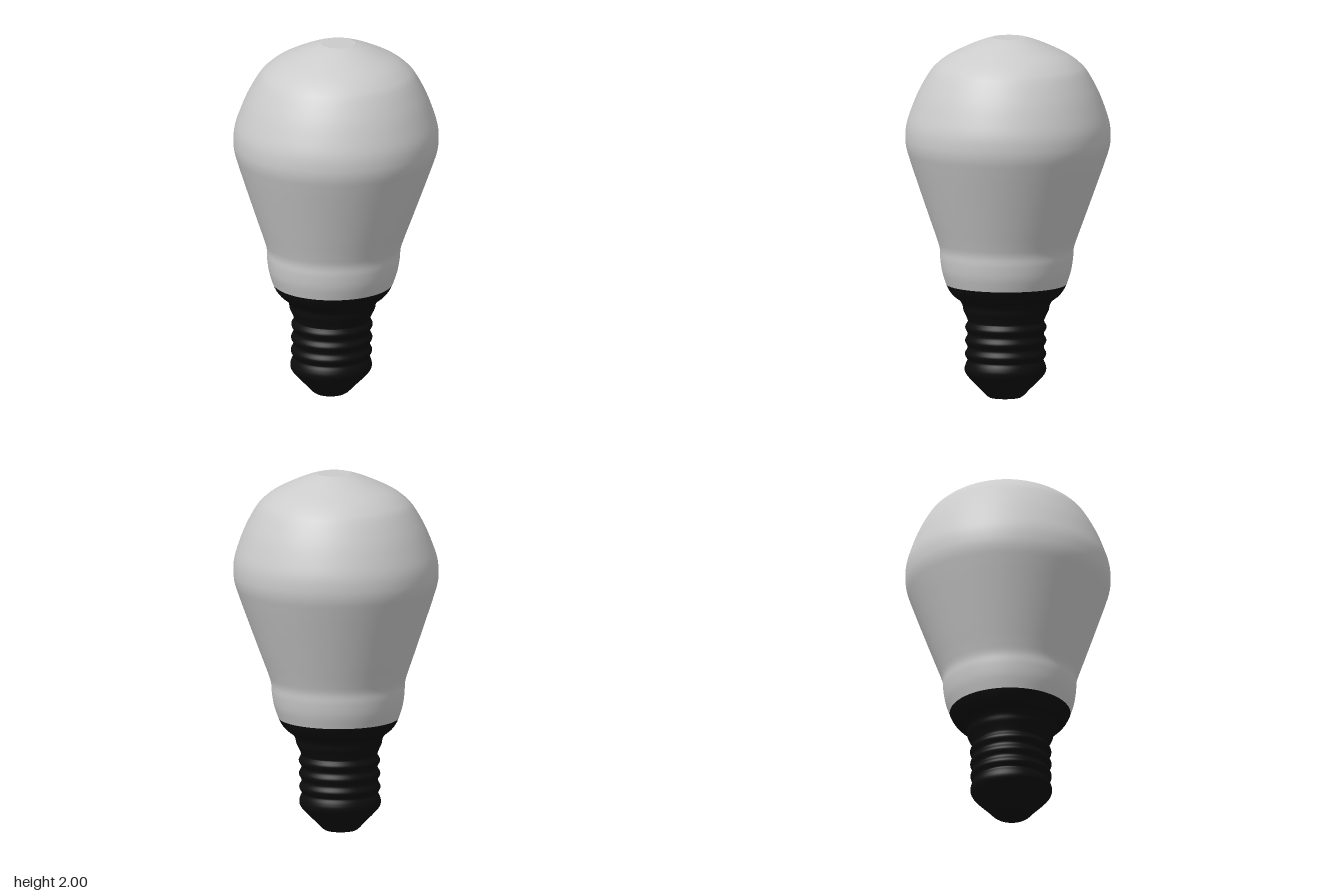
import * as THREE from 'three';

const SEGMENTS = 96;
const glass = new THREE.MeshStandardMaterial({ color: 0xcccccc });
const black = new THREE.MeshStandardMaterial({ color: 0x0d0d0d });

// The bulb leans very slightly to +x as it rises
const lean = new THREE.Matrix4().set(
  1, 0.0245, 0, -0.037,
  0, 1, 0, 0,
  0, 0.003, 1, -0.001,
  0, 0, 0, 1
);

const toVectors = (pairs) => pairs.map(([r, y]) => new THREE.Vector2(r, y));

function part(name, geometry, material) {
  const mesh = new THREE.Mesh(geometry.applyMatrix4(lean), material);
  mesh.name = name;
  return mesh;
}

function turned(name, pairs, steps, material) {
  const profile = new THREE.SplineCurve(toVectors(pairs)).getPoints(steps);
  return part(name, new THREE.LatheGeometry(profile, SEGMENTS), material);
}

function disc(name, radius, y, facing, material) {
  const geometry = new THREE.CircleGeometry(radius, SEGMENTS);
  geometry.rotateX(-facing * Math.PI / 2).translate(0, y, 0);
  return part(name, geometry, material);
}

export function createModel() {
  const bulb = new THREE.Group();
  bulb.name = 'lightBulb';

  // Glass envelope: collar, flared neck and rounded globe
  bulb.add(turned('glassGlobe', [
    [0.331, 0.63], [0.353, 0.7], [0.364, 0.77], [0.368, 0.83], [0.386, 0.89],
    [0.425, 1.0], [0.495, 1.2], [0.536, 1.32], [0.557, 1.39], [0.563, 1.45],
    [0.557, 1.52], [0.533, 1.6], [0.493, 1.7], [0.438, 1.8], [0.396, 1.85],
    [0.33, 1.9], [0.23, 1.95], [0.15, 1.983], [0.095, 2.0],
  ], 100, glass));
  bulb.add(disc('globeTip', 0.095, 2.0, 1, glass));

  // Screw cap: contact cone, wavy thread, then the shoulder under the glass
  const thread = [];
  const turns = 3, first = 0.205, pitch = 0.074;
  for (let i = 0; i <= turns * 8; i++) {
    const t = i / 8;
    thread.push([0.216 - 0.007 * Math.cos(t * Math.PI * 2), first + t * pitch]);
  }
  bulb.add(turned('screwCap', [
    [0.087, 0], [0.105, 0.013], [0.135, 0.045], [0.18, 0.09], [0.213, 0.127],
    [0.224, 0.155], [0.219, 0.183],
    ...thread,
    [0.22, 0.455], [0.234, 0.485], [0.24, 0.515], [0.256, 0.54],
    [0.288, 0.565], [0.313, 0.595], [0.331, 0.63],
  ], 160, black));
  bulb.add(disc('baseContact', 0.087, 0, -1, black));

  return bulb;
}
